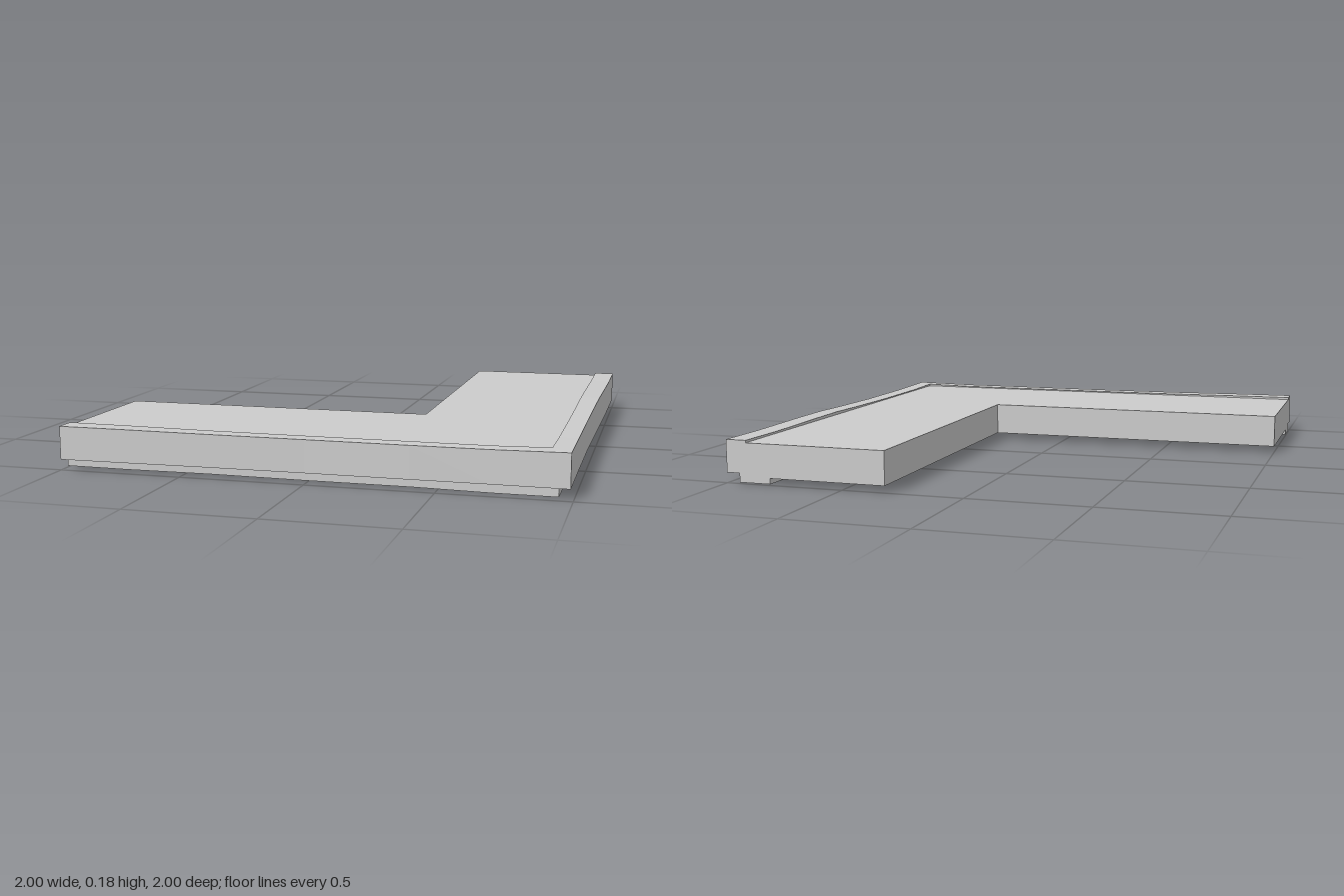
import * as THREE from 'three';

const material = new THREE.MeshStandardMaterial({ color: 0xcccccc, flatShading: true, side: THREE.DoubleSide });

// Uneven edge stations along the L: [arm, position, inset of outer face, rim top, strip bottom]
const STATIONS = [
  ['front', -1, 0, 0.175, 0.005], ['front', -0.75, 0.004, 0.174, 0.004],
  ['front', -0.4, 0.012, 0.171, 0.006], ['front', 0, 0.015, 0.17, 0.004],
  ['front', 0.4, 0.013, 0.17, 0.004], ['front', 0.7, 0.014, 0.17, 0],
  ['corner', 0, 0.011, 0.174, 0],
  ['side', 0.7, 0.012, 0.17, 0.001], ['side', 0.3, 0.012, 0.17, 0.005],
  ['side', 0, 0.009, 0.174, 0.003], ['side', -0.2, 0.006, 0.178, 0.001],
  ['side', -0.4, 0.003, 0.177, 0.003], ['side', -0.75, 0, 0.173, 0.001],
  ['side', -1, 0, 0.175, 0.005],
];

// Point at distance d inside the outer edge, mitred at the corner
function edgePoint(arm, t, d, y) {
  if (arm === 'front') return [t, y, 1 - d];
  if (arm === 'side') return [1 - d, y, t];
  return [1 - d, y, 1 - d];
}

// Sweeps a four-point section round both outer edges
function sweep(name, section) {
  const positions = [], index = [];
  STATIONS.forEach(([arm, t, inset, top, bottom], i) => {
    for (const [d, y] of section(inset, top, bottom)) positions.push(...edgePoint(arm, t, d, y));
    if (i === 0) return;
    for (let k = 0; k < 4; k++) {
      const next = (k + 1) % 4, p = (i - 1) * 4, q = i * 4;
      index.push(p + k, p + next, q + next, p + k, q + next, q + k);
    }
  });
  const e = (STATIONS.length - 1) * 4;
  index.push(0, 3, 2, 0, 2, 1, e, e + 1, e + 2, e, e + 2, e + 3);
  const geometry = new THREE.BufferGeometry();
  geometry.setAttribute('position', new THREE.Float32BufferAttribute(positions, 3));
  geometry.setIndex(index);
  const flat = geometry.toNonIndexed();
  flat.computeVertexNormals();
  const mesh = new THREE.Mesh(flat, material);
  mesh.name = name;
  return mesh;
}

function slab(name, x0, x1, z0, z1) {
  const y0 = 0.028, y1 = 0.165;
  const mesh = new THREE.Mesh(new THREE.BoxGeometry(x1 - x0, y1 - y0, z1 - z0), material);
  mesh.position.set((x0 + x1) / 2, (y0 + y1) / 2, (z0 + z1) / 2);
  mesh.name = name;
  return mesh;
}

export function createModel() {
  const group = new THREE.Group();
  group.name = 'cornerSlab';

  // Two butted slabs form the L
  group.add(slab('frontSlab', -1, 0.92, 0.32, 0.92));
  group.add(slab('sideSlab', 0.32, 0.92, -1, 0.32));

  // Raised overhanging rim on the outer edges
  group.add(sweep('rim', (inset, top) => [[inset, 0.042], [0.087, 0.042], [0.087, top], [inset, top]]));

  // Narrow moulding strip beneath the rim
  group.add(sweep('underStrip', (inset, top, bottom) => [[0.056, bottom], [0.19, bottom], [0.19, 0.043], [0.056, 0.043]]));

  return group;
}
